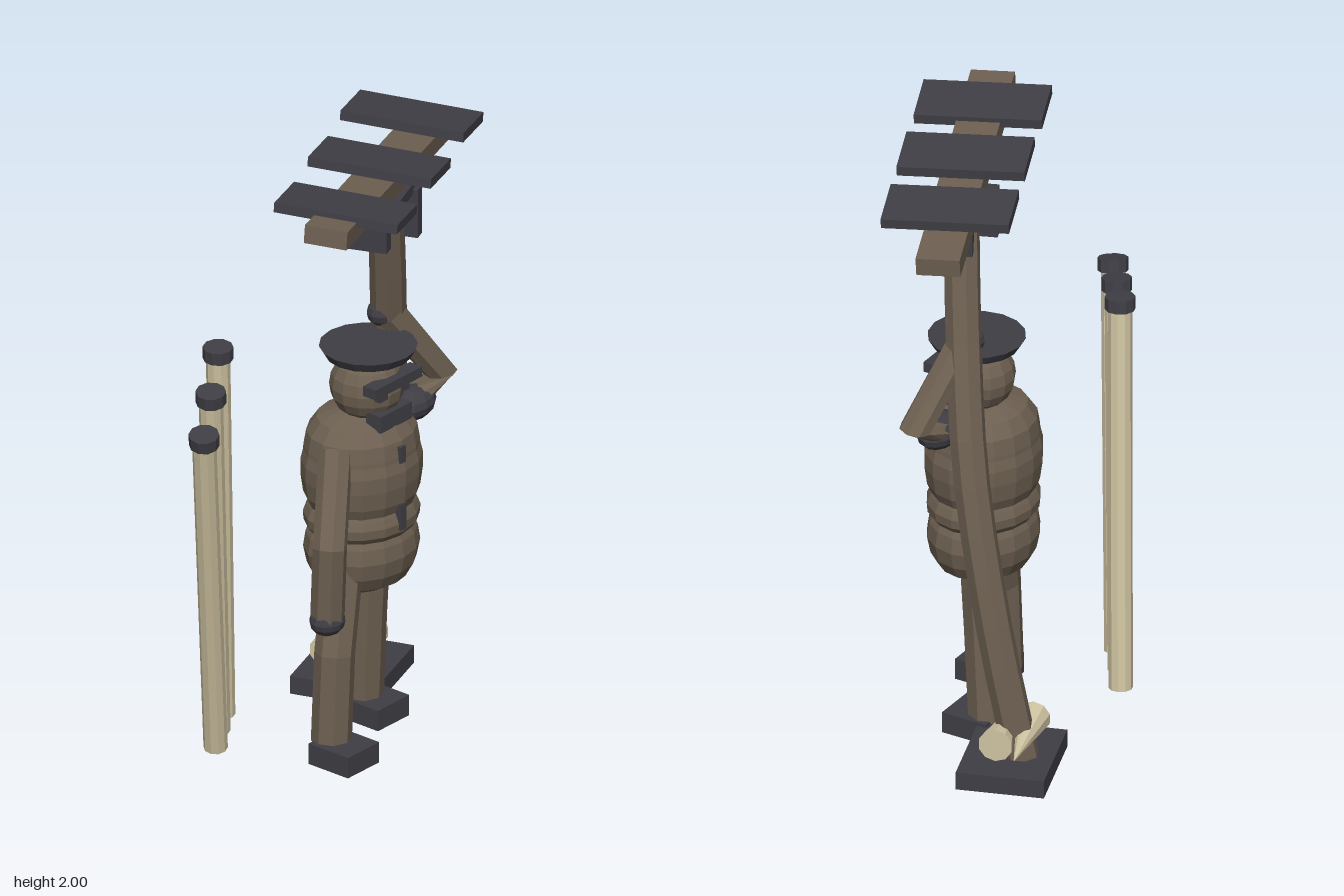
import * as THREE from 'three';

const mat = (name, color) => new THREE.MeshStandardMaterial({ name, color });
const V = (p) => new THREE.Vector3(...p);

// Path with straight pieces, so that a tube along it has mitred joints
class Polyline extends THREE.Curve {
  constructor(points) { super(); this.points = points.map(V); }
  getPoint(t, target = new THREE.Vector3()) {
    const n = this.points.length - 1;
    const i = Math.min(Math.floor(t * n), n - 1);
    return target.lerpVectors(this.points[i], this.points[i + 1], t * n - i);
  }
  getPointAt(u, target) { return this.getPoint(u, target); }
  getTangentAt(u, target) { return this.getTangent(u, target); }
}

// Faceted normals for the low-poly look
function facet(geometry) {
  const flat = geometry.index ? geometry.toNonIndexed() : geometry;
  flat.computeVertexNormals();
  return flat;
}

export function createModel() {
  const model = new THREE.Group();
  model.name = 'poleCarrier';
  const brown = mat('brown', 0x6d6051);
  const dark = mat('charcoal', 0x3f3e45);
  const cream = mat('cream', 0xd0c4a2);
  const black = mat('rope black', 0x2b2a2e);

  const add = (name, geometry, material, parent = model) => {
    const mesh = new THREE.Mesh(facet(geometry), material);
    mesh.name = name;
    parent.add(mesh);
    return mesh;
  };
  const box = (name, size, pos, material, yaw = 0, tilt = 0) => {
    const mesh = add(name, new THREE.BoxGeometry(...size), material);
    mesh.position.set(...pos);
    mesh.rotation.set(0, yaw, tilt, 'ZYX');
    return mesh;
  };
  const ball = (name, radii, pos, material, w = 12, h = 8) => {
    const mesh = add(name, new THREE.SphereGeometry(1, w, h), material);
    mesh.scale.set(...radii);
    mesh.position.set(...pos);
    return mesh;
  };
  const tube = (name, points, radius, material, sides = 8) =>
    add(name, new THREE.TubeGeometry(new Polyline(points), points.length - 1, radius, sides), material);
  // Cylinder or cone from point a (radius ra) to point b (radius rb)
  const rod = (name, a, b, ra, rb, material, sides = 10) => {
    const from = V(a), dir = V(b).sub(from);
    const mesh = add(name, new THREE.CylinderGeometry(rb, ra, dir.length(), sides), material);
    mesh.position.copy(from).addScaledVector(dir, 0.5);
    mesh.quaternion.setFromUnitVectors(new THREE.Vector3(0, 1, 0), dir.normalize());
    return mesh;
  };

  // Torso: one lathe with bulging rolls, slightly flattened front to back
  const profile = [
    [0, 0.52], [0.1, 0.52], [0.155, 0.55], [0.182, 0.595], [0.194, 0.65], [0.186, 0.7], [0.176, 0.72],
    [0.192, 0.74], [0.195, 0.77], [0.184, 0.795], [0.178, 0.805], [0.194, 0.84], [0.203, 0.9],
    [0.203, 0.95], [0.194, 0.985], [0.193, 1.0], [0.184, 1.05], [0.15, 1.095], [0.06, 1.125], [0, 1.125],
  ].map(([r, y]) => new THREE.Vector2(r, y));
  const torso = add('torso', new THREE.LatheGeometry(profile, 16), brown);
  torso.position.set(0.11, 0, 0.02);
  torso.scale.z = 0.89;
  box('upperZip', [0.026, 0.055, 0.05], [0.102, 1.008, 0.172], dark);
  box('lowerZip', [0.026, 0.09, 0.05], [0.102, 0.795, 0.173], dark);

  // Head, face and flat cap
  ball('head', [0.118, 0.118, 0.118], [0.118, 1.2, 0.035], brown, 14, 10);
  box('goggles', [0.225, 0.034, 0.05], [0.118, 1.238, 0.14], dark);
  for (const s of [-1, 1]) box('eyeGlass', [0.04, 0.035, 0.03], [0.118 + s * 0.052, 1.207, 0.132], dark);
  box('beard', [0.15, 0.056, 0.06], [0.118, 1.117, 0.125], dark);
  rod('cap', [0.118, 1.303, 0.04], [0.118, 1.335, 0.04], 0.135, 0.154, dark, 16);

  // Legs and feet, the right one stepping forward
  tube('rightLeg', [[-0.015, 0.62, 0.05], [-0.09, 0.36, 0.08], [-0.1, 0.06, 0.075]], 0.064, brown);
  tube('leftLeg', [[0.195, 0.62, -0.02], [0.2, 0.36, -0.04], [0.208, 0.06, -0.06]], 0.067, brown);
  box('rightFoot', [0.15, 0.07, 0.16], [-0.105, 0.035, 0.13], dark);
  box('leftFoot', [0.15, 0.07, 0.16], [0.21, 0.035, -0.015], dark);

  // Right arm hanging down
  tube('rightArm', [[-0.05, 1.03, 0.05], [-0.19, 0.775, 0.145], [-0.178, 0.53, 0.125]], 0.054, brown);
  ball('rightHand', [0.06, 0.05, 0.055], [-0.178, 0.52, 0.125], dark);

  // Left arm raised to grip the tall post
  ball('leftShoulderPad', [0.095, 0.055, 0.065], [0.295, 1.075, 0.065], dark);
  tube('leftArm', [[0.27, 1.07, 0.05], [0.425, 1.135, 0.075], [0.255, 1.385, 0.005]], 0.052, brown);
  ball('leftHand', [0.042, 0.042, 0.045], [0.235, 1.385, -0.01], dark, 10, 6);

  // Tall curved post on its base plate
  box('postBase', [0.343, 0.06, 0.28], [0.37, 0.03, -0.24], dark, 0.335);
  const postCurve = new THREE.CatmullRomCurve3([
    [0.365, 0.04, -0.275], [0.377, 0.5, -0.178], [0.345, 1.0, -0.075], [0.262, 1.4, 0], [0.17, 1.84, 0.065],
  ].map(V));
  add('post', new THREE.TubeGeometry(postCurve, 12, 0.057, 8), brown);

  // Pair of opposed spikes lying either side of the post
  rod('rearSpike', [0.256, 0.13, -0.25], [0.525, 0.13, -0.345], 0.055, 0.002, cream);
  rod('frontSpike', [0.475, 0.13, -0.245], [0.207, 0.13, -0.158], 0.055, 0.002, cream);

  // Forked bracket, beam and planks at the top of the post
  const yaw = 0.385;
  box('bracketTop', [0.22, 0.035, 0.13], [0.168, 1.845, 0.075], dark, yaw);
  for (const x of [0.093, 0.243]) box('bracketCheek', [0.042, 0.165, 0.14], [x, 1.762, 0.057], dark, yaw);
  box('beam', [1.07, 0.06, 0.139], [0.135, 1.905, 0.07], brown, yaw, -0.094);
  [[-0.18, 0.2], [0.135, 0.07], [0.45, -0.065]].forEach(([x, z]) =>
    box('plank', [0.198, 0.032, 0.403], [x, 1.965, z], dark, yaw, -0.105));

  // Three capped leaning poles
  const poles = [
    [[-0.36, 0.055, -0.175], [-0.61, 1.26, -0.01]],
    [[-0.262, 0.055, -0.247], [-0.436, 1.305, -0.13]],
    [[-0.165, 0.055, -0.31], [-0.26, 1.355, -0.25]],
  ];
  const along = ([a, b], y) => V(a).lerp(V(b), (y - a[1]) / (b[1] - a[1]));
  for (const [a, b] of poles) {
    rod('leaningPole', a, b, 0.038, 0.038, cream);
    const mid = V(b);
    const axis = V(b).sub(V(a)).normalize().multiplyScalar(0.021);
    rod('poleCap', mid.clone().sub(axis).toArray(), mid.clone().add(axis).toArray(), 0.048, 0.048, dark);
  }

  // Ropes tying neighbouring poles together
  [[0, 0.845, 0.85], [1, 0.86, 0.905], [0, 0.36, 0.355], [1, 0.35, 0.385]].forEach(([i, ya, yb]) => {
    const a = along(poles[i], ya), b = along(poles[i + 1], yb);
    const sag = a.clone().lerp(b, 0.5).add(new THREE.Vector3(0, -0.008, 0));
    const curve = new THREE.QuadraticBezierCurve3(a, sag, b);
    add('rope', new THREE.TubeGeometry(curve, 6, 0.009, 6), black);
  });

  return model;
}
